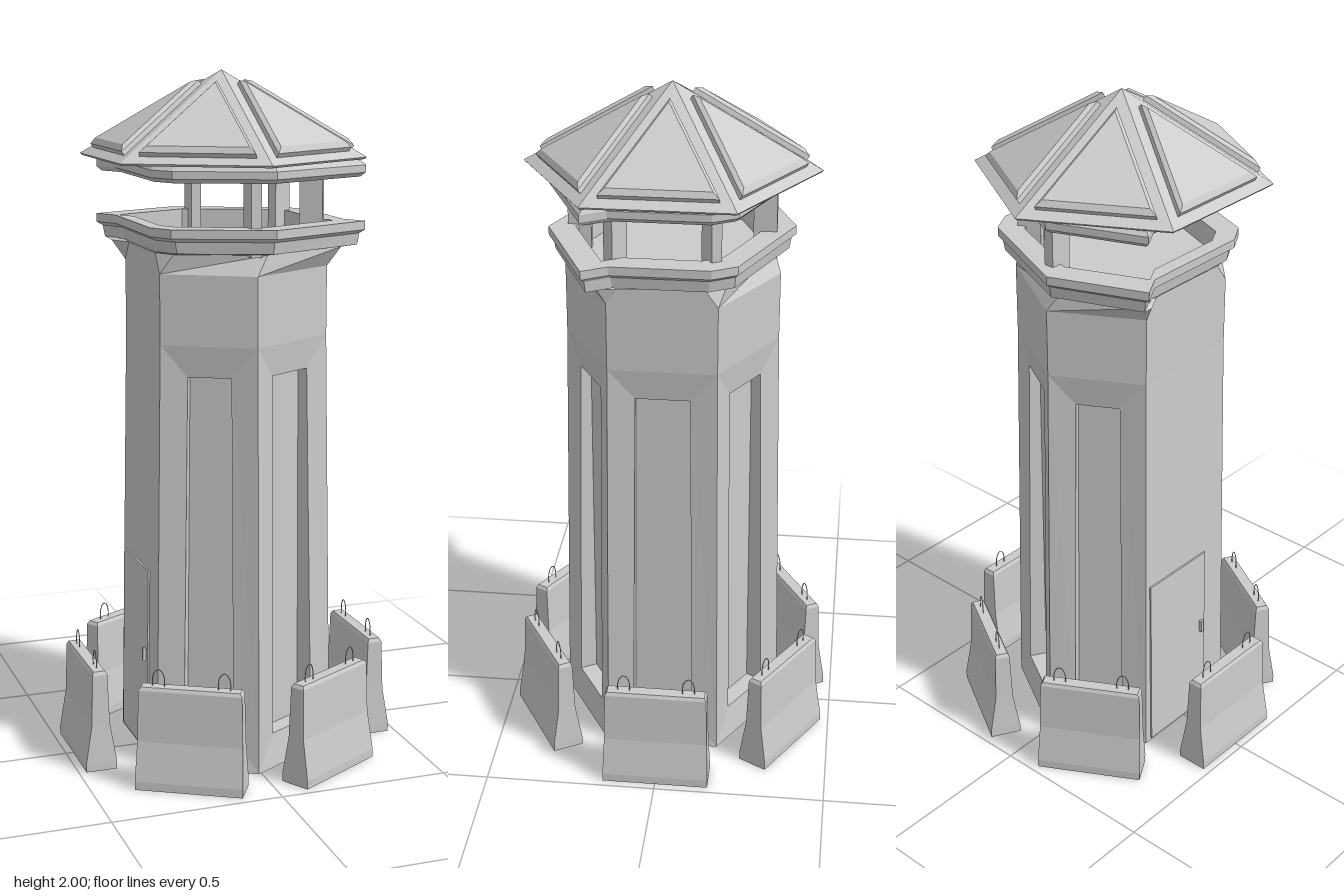
import * as THREE from 'three';

const grey = new THREE.MeshStandardMaterial({ color: 0xcccccc, flatShading: true, side: THREE.DoubleSide });
const SIXTH = Math.PI / 3, SIN60 = Math.sin(SIXTH);

function add(parent, name, geometry) {
  const mesh = new THREE.Mesh(geometry, grey);
  mesh.name = name;
  parent.add(mesh);
  return mesh;
}

function group(name) {
  const g = new THREE.Group();
  g.name = name;
  return g;
}

// Flat-sided geometry from a list of convex polygons of [x, y, z] corners
function polygons(faces) {
  const pos = [];
  for (const f of faces) {
    for (let i = 1; i < f.length - 1; i++) pos.push(...f[0], ...f[i], ...f[i + 1]);
  }
  const g = new THREE.BufferGeometry();
  g.setAttribute('position', new THREE.Float32BufferAttribute(pos, 3));
  g.computeVertexNormals();
  return g;
}

// Quads joining consecutive rings of equal length, closed by the last ring
function bands(rings) {
  const faces = [];
  for (let k = 0; k < rings.length - 1; k++) {
    const a = rings[k], b = rings[k + 1], n = a.length;
    for (let i = 0; i < n; i++) {
      const j = (i + 1) % n;
      faces.push([a[i], a[j], b[j], b[i]]);
    }
  }
  faces.push(rings[rings.length - 1]);
  return faces;
}

const normal = (k) => [Math.cos(k * SIXTH), -Math.sin(k * SIXTH)];

// Hexagonal outline whose door wall (-x) lies nearer the centre; two points per
// corner, spread along both walls by the chamfer
function outline([reach, doorReach, y, chamfer]) {
  const points = [];
  for (let k = 0; k < 6; k++) {
    const n1 = normal(k + 5), n2 = normal(k);
    const d1 = k === 4 ? doorReach : reach, d2 = k === 3 ? doorReach : reach;
    const u = (d1 - d2 / 2) / (SIN60 * SIN60), v = (d2 - d1 / 2) / (SIN60 * SIN60);
    const x = u * n1[0] + v * n2[0], z = u * n1[1] + v * n2[1];
    points.push([x - n1[1] * -chamfer * -1 * -1, y, z + n1[0] * chamfer]);
    points.push([x + n2[1] * chamfer, y, z - n2[0] * chamfer]);
  }
  return points;
}

const SHOULDER = 1.25;
// Outline of the sloping lower body at height y
const lowerBody = (y) => outline([0.288 - 0.021 * y / SHOULDER, 0.262 - 0.022 * y / SHOULDER, y, 0]);

// Lower wall k with a recessed panel, a fixed margin in from both corners
function panelledWall(k) {
  const n = normal(k);
  const edge = (y, margin, depth) => {
    const p = lowerBody(y), a = p[2 * k + 1], b = p[(2 * k + 2) % 12];
    const f = margin / Math.hypot(b[0] - a[0], b[2] - a[2]);
    return [f, 1 - f].map((t) =>
      [a[0] + (b[0] - a[0]) * t - n[0] * depth, y, a[2] + (b[2] - a[2]) * t - n[1] * depth]);
  };
  const ring = (y0, y1, margin, d0, d1) => [...edge(y0, margin, d0), ...edge(y1, margin, d1).reverse()];
  const faces = bands([ring(0, SHOULDER, 0, 0, 0), ring(0.1, 1.16, 0.077, 0.01, 0.012), ring(0.1, 1.16, 0.077, 0.062, 0.044)]);
  return polygons(faces);
}

function createTower() {
  const tower = group('tower');
  for (const k of [0, 1, 2, 4, 5]) add(tower, 'panelledWall', panelledWall(k));
  const low = lowerBody(0), high = lowerBody(SHOULDER);
  add(tower, 'doorWall', polygons([[low[7], low[8], high[8], high[7]]]));
  add(tower, 'base', polygons([[...low].reverse()]));
  add(tower, 'upperBody', polygons(bands([[0.267, 0.24, SHOULDER, 0], [0.267, 0.24, 1.45, 0],
    [0.267, 0.24, 1.505, 0.04]].map(outline))));

  // Door leaning with its wall
  const door = group('door');
  door.position.set(-0.262, 0, -0.035);
  door.rotation.z = -Math.atan(0.022 / SHOULDER);
  add(door, 'doorLeaf', new THREE.BoxGeometry(0.01, 0.56, 0.25)).position.y = 0.29;
  add(door, 'doorHandle', new THREE.BoxGeometry(0.014, 0.04, 0.01)).position.set(-0.008, 0.31, 0.105);
  tower.add(door);
  return tower;
}

function createLookout() {
  const lookout = group('lookout');
  // Stepped parapet, ending inside as the lookout floor
  add(lookout, 'parapet', polygons(bands([[0.267, 0.24, 1.505, 0.04], [0.303, 0.246, 1.512, 0.044],
    [0.308, 0.252, 1.545, 0.044], [0.32, 0.267, 1.555, 0.046], [0.32, 0.267, 1.58, 0.046],
    [0.25, 0.225, 1.58, 0.036], [0.25, 0.225, 1.51, 0.036]].map(outline))));
  add(lookout, 'roofRing', polygons(bands([[0.24, 0.22, 1.75, 0.036], [0.24, 0.22, 1.705, 0.036],
    [0.308, 0.252, 1.705, 0.044], [0.32, 0.264, 1.717, 0.046], [0.32, 0.264, 1.738, 0.046],
    [0.308, 0.252, 1.752, 0.044]].map(outline))));

  // Four corner posts; the door side stays open
  for (let i = 0; i < 4; i++) {
    const a = i * SIXTH;
    const post = add(lookout, 'post', new THREE.BoxGeometry(0.03, 0.22, 0.066));
    post.position.set(0.262 * Math.sin(a), 1.61, 0.262 * Math.cos(a));
    post.rotation.y = a;
  }
  return lookout;
}

function createRoof() {
  const roof = group('roof');
  const R = 0.418, EAVE = 1.76, RISE = 0.24, A = R * SIN60;
  const profile = [[0, EAVE - 0.006], [R - 0.006, EAVE - 0.006], [R, EAVE], [0, EAVE + RISE]];
  add(roof, 'roofSlopes', new THREE.LatheGeometry(profile.map(([r, y]) => new THREE.Vector2(r, y)), 6));

  // Raised bevelled triangle on each slope
  const len = Math.hypot(A, RISE), ny = A / len, nz = RISE / len;
  const triangle = (apex, base, half, lift) =>
    [[-half, base], [half, base], [0, apex]].map(([x, d]) =>
      [x, EAVE + RISE * (1 - d / A) + ny * lift, d + nz * lift]);
  for (let i = 0; i < 6; i++) {
    const panel = add(roof, 'roofPanel', polygons(bands([
      triangle(0.06, 0.335, 0.161, 0),
      triangle(0.06, 0.335, 0.161, 0.014),
      triangle(0.078, 0.321, 0.142, 0.024),
    ])));
    panel.rotation.y = SIXTH / 2 + i * SIXTH;
  }
  return roof;
}

function createBarrier() {
  const barrier = group('barrier');
  // Cross-sections from the ground up: [height, half length, half thickness]
  const rings = [[0, 0.156, 0.046], [0.025, 0.156, 0.046], [0.14, 0.152, 0.027],
    [0.29, 0.149, 0.022], [0.3, 0.143, 0.017]].map(([y, l, w]) =>
    [[-l, y, w], [l, y, w], [l, y, -w], [-l, y, -w]]);
  add(barrier, 'barrierBody', polygons([[...rings[0]].reverse(), ...bands(rings)]));
  for (const s of [-1, 1]) {
    const path = new THREE.CatmullRomCurve3([[-0.017, 0.29], [-0.017, 0.325], [-0.009, 0.344], [0, 0.349],
      [0.009, 0.344], [0.017, 0.325], [0.017, 0.29]].map(([x, y]) => new THREE.Vector3(s * 0.095 + x, y, 0)));
    add(barrier, 'liftingLoop', new THREE.TubeGeometry(path, 16, 0.0015, 5));
  }
  return barrier;
}

export function createModel() {
  const model = group('watchtower');
  const building = group('building');
  building.position.x = -0.009;
  building.add(createTower(), createLookout(), createRoof());
  model.add(building);

  // Ring of barriers, one in front of each wall, slightly uneven
  const spots = [[0.196, 0.36], [0.432, 0], [0.217, -0.358], [-0.208, -0.36], [-0.432, 0], [-0.222, 0.356]];
  spots.forEach(([x, z], i) => {
    const barrier = createBarrier();
    barrier.position.set(x, 0, z);
    barrier.rotation.y = SIXTH / 2 + i * SIXTH;
    model.add(barrier);
  });
  return model;
}
